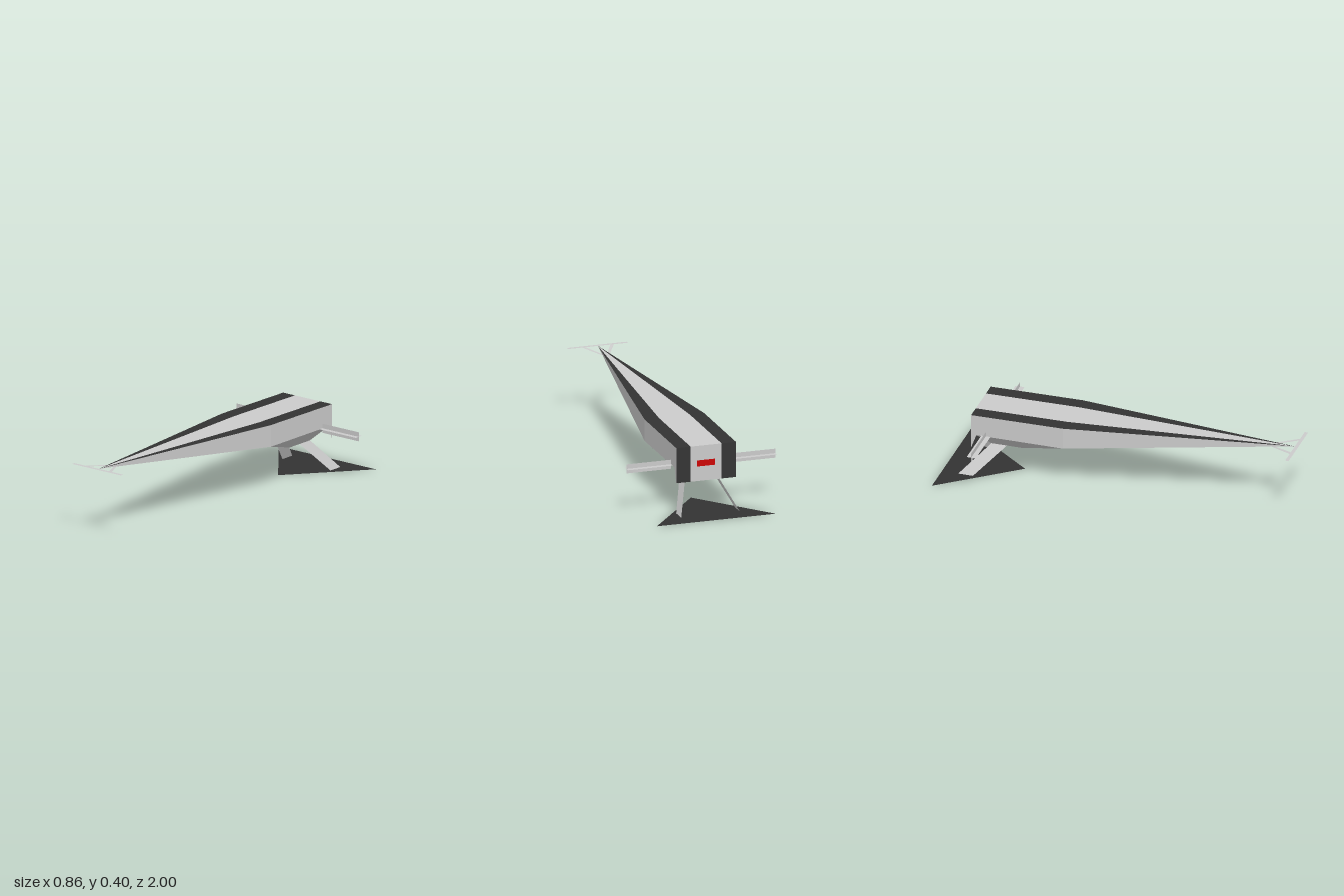
import * as THREE from 'three';

const GREY = 0xcccccc, BLACK = 0x333333, RED = 0xcc0000;
const CORE = new THREE.Vector3(0, 0.29, -0.55);

// Builds a mesh from flat half-polygons mirrored in x, all facing away from the hull core
function panels(name, color, polygons, thin = false) {
  const pos = [];
  for (const polygon of polygons) {
    for (const side of [1, -1]) {
      const pts = polygon.map(([x, y, z]) => new THREE.Vector3(x * side, y, z));
      for (let i = 1; i < pts.length - 1; i++) {
        const tri = new THREE.Triangle(pts[0], pts[i], pts[i + 1]);
        const out = tri.getMidpoint(new THREE.Vector3()).sub(CORE);
        const facing = tri.getNormal(new THREE.Vector3()).dot(out) >= 0;
        const order = facing ? [tri.a, tri.b, tri.c] : [tri.a, tri.c, tri.b];
        order.forEach((p) => pos.push(p.x, p.y, p.z));
      }
    }
  }
  const geometry = new THREE.BufferGeometry();
  geometry.setAttribute('position', new THREE.Float32BufferAttribute(pos, 3));
  geometry.computeVertexNormals();
  const material = new THREE.MeshStandardMaterial({
    color, side: thin ? THREE.DoubleSide : THREE.FrontSide,
  });
  const mesh = new THREE.Mesh(geometry, material);
  mesh.name = name;
  return mesh;
}

export function createModel() {
  const model = new THREE.Group();
  model.name = 'racingCraft';
  const add = (...args) => model.add(panels(...args));

  // Main stations of the hull
  const W = 0.173, S = 0.09, U = 0.05;
  const zMid = -0.3, zKeel = -0.565, zBack = -0.83;
  const yMid = 0.384, yTop = 0.38, yEdge = 0.26, yLow = 0.178;
  const nose = [0, 0.4, 0.98];
  const topMid = (x) => [x, yMid, zMid];
  const topBack = (x) => [x, yTop, zBack];
  const under = (x) => [x, yEdge, zMid];
  const low = (x, z) => [x, yLow, z];
  const edge = (z) => [W, yEdge, z];

  // Upper deck: grey centre between black stripes
  add('deckCentre', GREY, [
    [nose, topMid(0), topMid(S)],
    [topMid(0), topMid(S), topBack(S), topBack(0)],
  ]);
  add('deckStripes', BLACK, [
    [nose, topMid(S), topMid(W)],
    [topMid(S), topMid(W), topBack(W), topBack(S)],
  ]);

  // Side walls
  add('sideWalls', GREY, [
    [nose, topMid(W), under(W)],
    [topMid(W), topBack(W), edge(zBack), under(W)],
  ]);

  // Underside of the nose
  add('underCentre', GREY, [[nose, under(0), under(U)]]);
  add('underStripes', BLACK, [[nose, under(U), under(W)]]);

  // Keel with a front ramp and flared rear corners
  add('keel', GREY, [
    [under(0), under(U), low(S, zKeel), low(0, zKeel)],
    [under(U), under(W), low(S, zKeel)],
    [under(W), edge(zKeel), low(S, zKeel)],
    [edge(zKeel), edge(-0.8), low(S, -0.74), low(S, zKeel)],
    [low(0, zKeel), low(S, zKeel), low(S, zBack), low(0, zBack)],
    [edge(-0.8), low(W, zBack), low(S, -0.74)],
    [edge(-0.8), edge(zBack), low(W, zBack)],
    [low(S, -0.74), low(W, zBack), low(S, zBack)],
  ]);

  // Rear face
  add('rearCentre', GREY, [[topBack(0), topBack(S), low(S, zBack), low(0, zBack)]]);
  add('rearStripes', BLACK, [[topBack(S), topBack(W), low(W, zBack), low(S, zBack)]]);
  add('rearLight', RED, [
    [[0, 0.297, -0.832], [0.052, 0.297, -0.832], [0.052, 0.262, -0.832], [0, 0.262, -0.832]],
  ]);

  // Side arms with a plus-shaped section
  const armY = 0.262, armZ = -0.745, r = 0.026, tip = 0.432;
  add('sideArms', GREY, [
    [[W, armY, armZ - r], [tip, armY, armZ - r], [tip, armY, armZ + r], [W, armY, armZ + r]],
    [[W, armY - r, armZ], [tip, armY - r, armZ], [tip, armY + r, armZ], [W, armY + r, armZ]],
  ], true);

  // Slanted struts and the flat triangular tail plate
  add('tailStruts', GREY, [
    [low(S, -0.65), low(S, -0.74), [0.17, 0.002, -0.905], [0.17, 0.002, -0.82]],
  ], true);
  add('tailPlate', BLACK, [[[0, 0, -0.575], [0.345, 0, -1], [0, 0, -1]]], true);

  // Thin nose wing and its two stays
  add('noseWing', GREY, [
    [[0, 0.4, 0.98], [W, 0.4, 0.98], [W, 0.4, 1], [0, 0.4, 1]],
  ], true);
  add('noseStays', GREY, [
    [[0.005, 0.387, 0.85], [0.012, 0.387, 0.83], [0.092, 0.4, 0.98], [0.072, 0.4, 0.98]],
  ], true);

  return model;
}
